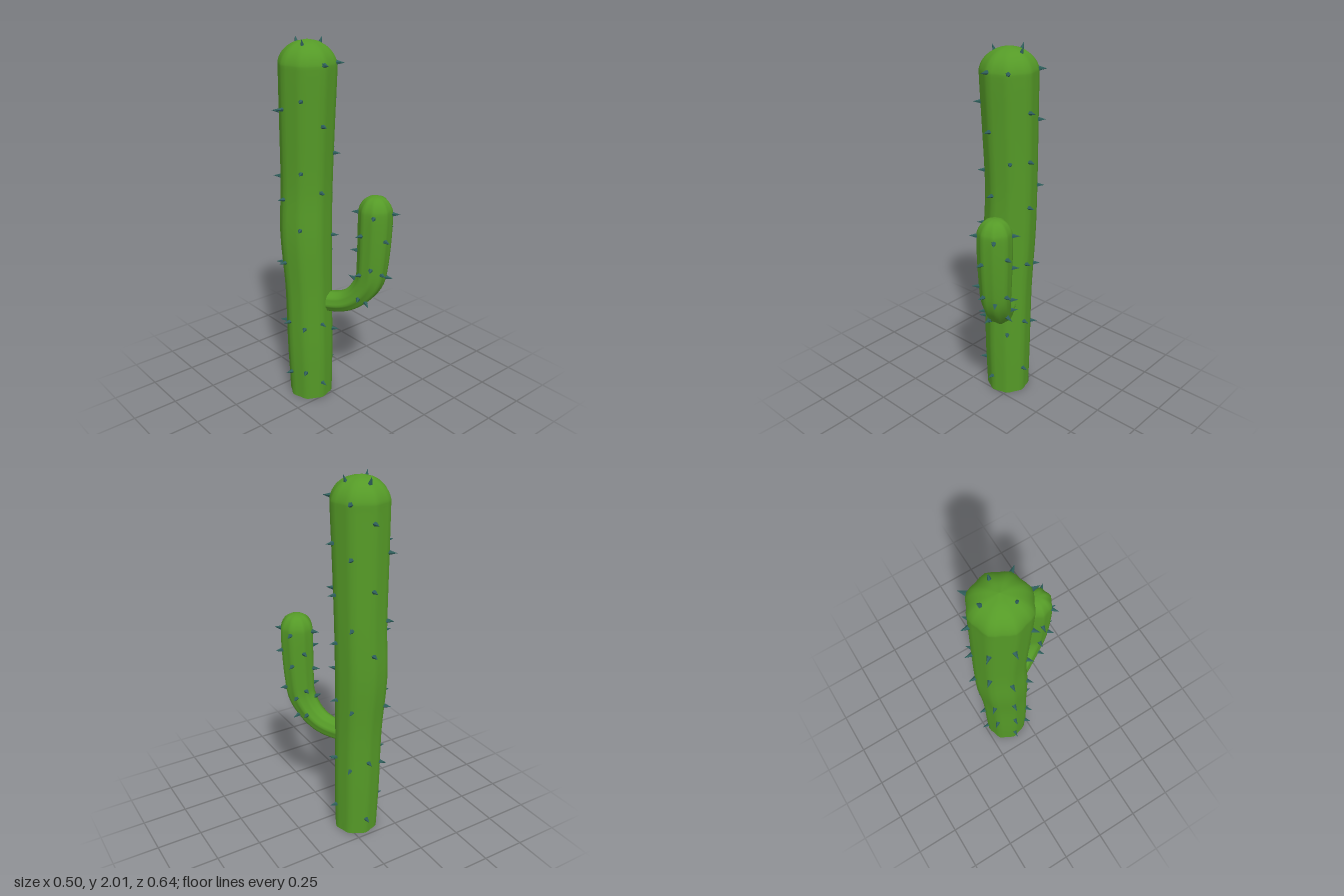
import * as THREE from 'three';

const OFFSET = THREE.MathUtils.degToRad(5); // heading of the first rib
const RIBS = 8;

// A ribbed stem: rows are [x, y, z, radius], u is the horizontal heading in which it bends.
function makeStem(rows, u) {
  const path = new THREE.CatmullRomCurve3(rows.map(r => new THREE.Vector3(r[0], r[1], r[2])), false, 'catmullrom');
  const radii = new THREE.CatmullRomCurve3(rows.map(r => new THREE.Vector3(r[3], 0, 0)), false, 'catmullrom');
  const up = new THREE.Vector3(0, 1, 0);
  const side = new THREE.Vector3().crossVectors(u, up);
  const startAngle = Math.atan2(u.z, u.x);

  // Frame at t: centre, radius and the outward direction for a heading seen from above
  const frame = t => {
    const c = path.getPoint(t), tan = path.getTangent(t);
    const h = tan.dot(u), v = tan.y, len = Math.hypot(h, v);
    const n = u.clone().multiplyScalar(v / len).addScaledVector(up, -h / len);
    const out = a => n.clone().multiplyScalar(Math.cos(a - startAngle))
      .addScaledVector(side, Math.sin(a - startAngle));
    return { c, r: Math.max(radii.getPoint(t).x, 0.0005), out, tan };
  };

  // Parameter at which the path reaches a height
  const atHeight = y => {
    let lo = 0, hi = 1;
    for (let i = 0; i < 30; i++) {
      const m = (lo + hi) / 2;
      if (path.getPoint(m).y < y) lo = m; else hi = m;
    }
    return lo;
  };
  return { frame, atHeight, steps: (rows.length - 1) * 4 };
}

function stemGeometry(stem, depth) {
  const segs = RIBS * 4, pos = [], index = [];
  for (let i = 0; i <= stem.steps; i++) {
    const { c, r, out } = stem.frame(i / stem.steps);
    for (let j = 0; j < segs; j++) {
      const a = OFFSET + (j / segs) * Math.PI * 2;
      const rr = r * (1 - depth + depth * Math.cos(RIBS * (a - OFFSET)));
      const p = out(a).multiplyScalar(rr).add(c);
      pos.push(p.x, p.y, p.z);
      if (i < stem.steps) {
        const k = (j + 1) % segs, b = i * segs, d = b + segs;
        index.push(b + j, d + j, b + k, b + k, d + j, d + k);
      }
    }
  }
  const g = new THREE.BufferGeometry();
  g.setAttribute('position', new THREE.Float32BufferAttribute(pos, 3));
  g.setIndex(index);
  g.computeVertexNormals();
  return g;
}

export function createModel() {
  const green = new THREE.MeshStandardMaterial({ color: 0x559a27, side: THREE.DoubleSide });
  green.name = 'cactusGreen';
  const teal = new THREE.MeshStandardMaterial({ color: 0x2f5f5c, flatShading: true });
  teal.name = 'spineTeal';

  const model = new THREE.Group();
  model.name = 'cactus';
  const spineGeo = new THREE.ConeGeometry(0.016, 0.052, 5);
  const up = new THREE.Vector3(0, 1, 0);

  const addSpine = (group, point, dir) => {
    const m = new THREE.Mesh(spineGeo, teal);
    m.name = 'spine';
    m.quaternion.setFromUnitVectors(up, dir);
    m.position.copy(point).addScaledVector(dir, 0.012);
    group.add(m);
  };

  const addStem = (name, rows, u, depth, spines) => {
    const stem = makeStem(rows, u);
    const group = new THREE.Group();
    group.name = name;
    const body = new THREE.Mesh(stemGeometry(stem, depth), green);
    body.name = name + 'Body';
    group.add(body);
    // One list of spine heights for each rib
    spines.forEach((heights, rib) => heights.forEach(y => {
      const { c, r, out } = stem.frame(stem.atHeight(y));
      const dir = out(OFFSET + rib * Math.PI * 2 / RIBS);
      addSpine(group, dir.clone().multiplyScalar(r).add(c), dir);
    }));
    model.add(group);
    return group;
  };

  // Trunk, open at the foot, domed at the top
  const trunk = addStem('trunk', [
    [-0.065, 0, -0.113, 0.122], [-0.069, 0.3, -0.113, 0.13], [-0.07, 0.65, -0.118, 0.132],
    [-0.074, 0.97, -0.13, 0.143], [-0.065, 1.25, -0.131, 0.14], [-0.065, 1.6, -0.12, 0.146],
    [-0.065, 1.84, -0.111, 0.151], [-0.065, 1.9, -0.111, 0.148], [-0.065, 1.95, -0.111, 0.118],
    [-0.065, 1.985, -0.111, 0.066], [-0.065, 2, -0.111, 0]
  ], new THREE.Vector3(1, 0, 0), 0.035, [
    [0.16, 0.48, 0.84, 1.18, 1.43, 1.69],
    [0.41, 0.98, 1.43, 1.89],
    [0.1, 0.48, 1.24, 1.59, 1.89],
    [0.18, 0.46, 1.04, 1.35, 1.72],
    [0.16, 0.48, 0.84, 1.19, 1.67],
    [0.44, 0.8, 1.29, 1.64],
    [0.1, 0.48, 1.13, 1.47, 1.8],
    [0.43, 0.8, 1.27, 1.63, 1.89]
  ]);

  // Three spines on the crown
  for (const [x, z] of [[-0.06, -0.2], [0.015, -0.11], [-0.125, -0.07]]) {
    const dir = new THREE.Vector3((x + 0.065) * 5, 1, (z + 0.111) * 5).normalize();
    addSpine(trunk, new THREE.Vector3(x, 1.972, z), dir);
  }

  // Arm: rows are [distance from the trunk axis, height, radius]
  const u = new THREE.Vector3(0.5, 0, 0.866);
  const arm = [
    [0.07, 0.588, 0.058], [0.17, 0.597, 0.06], [0.24, 0.625, 0.064], [0.3, 0.68, 0.07],
    [0.345, 0.76, 0.079], [0.358, 0.86, 0.085], [0.365, 1.0, 0.09], [0.368, 1.13, 0.091],
    [0.368, 1.175, 0.084], [0.368, 1.21, 0.062], [0.368, 1.227, 0.034], [0.368, 1.232, 0]
  ].map(([d, y, r]) => [-0.06 + d * u.x, y, -0.115 + d * u.z, r]);
  addStem('arm', arm, u, 0.045, [
    [0.68, 0.82, 1.04],
    [0.79, 1.14],
    [0.67, 0.82, 1.01],
    [0.67, 0.85, 1.14],
    [0.8, 1.03],
    [0.72, 0.92, 1.14],
    [0.8, 1.03],
    [0.66, 0.76, 0.96, 1.14]
  ]);

  return model;
}
